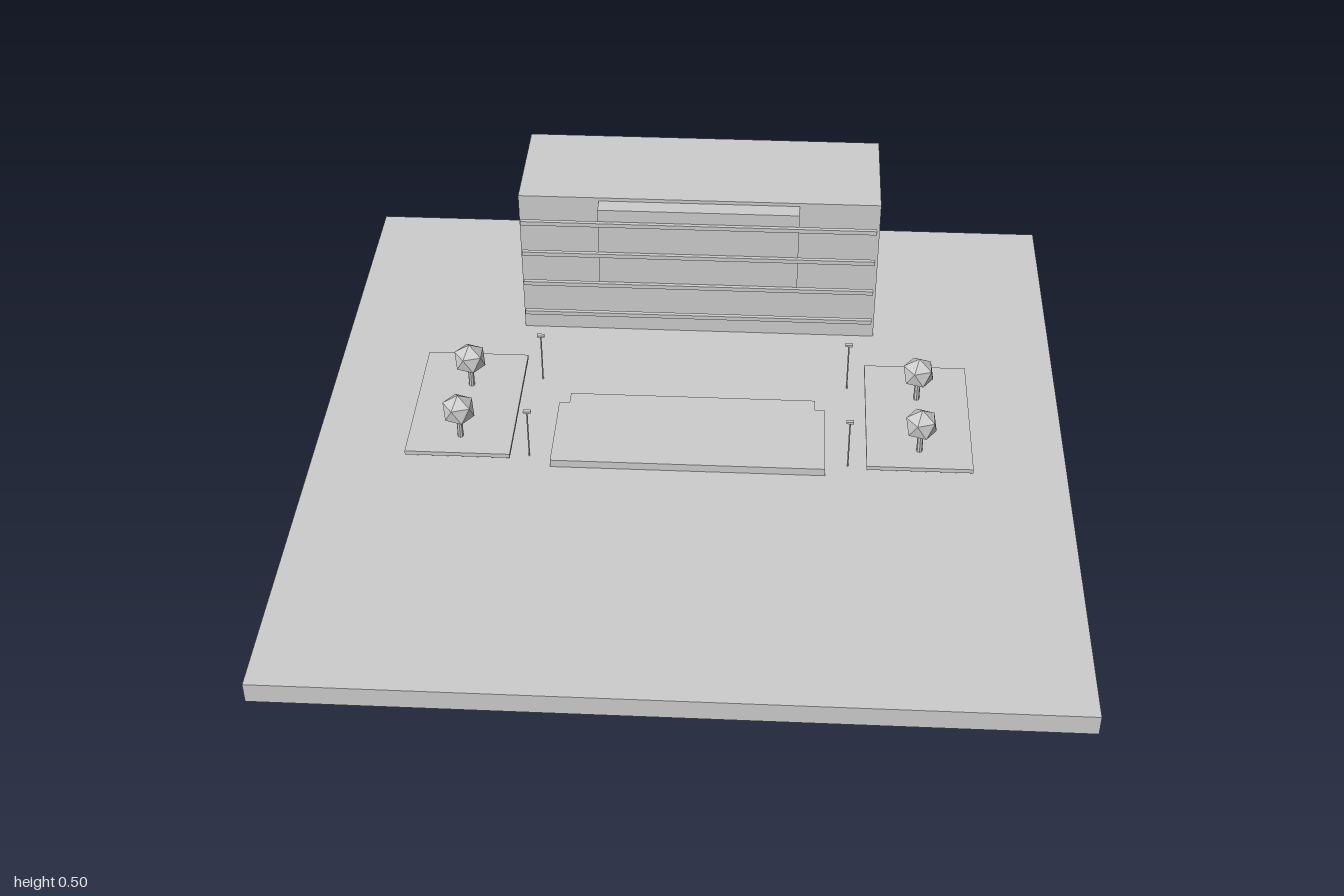
import * as THREE from 'three';

export function createModel() {
  const model = new THREE.Group();
  model.name = 'buildingSite';

  const grey = new THREE.MeshStandardMaterial({ color: 0xcccccc, flatShading: true });
  grey.name = 'light grey';

  const add = (name, geometry, x = 0, y = 0, z = 0, parent = model) => {
    const mesh = new THREE.Mesh(geometry, grey);
    mesh.name = name;
    mesh.position.set(x, y, z);
    parent.add(mesh);
    return mesh;
  };

  // Box given by its lower and upper limits on each axis
  const box = (name, x0, x1, y0, y1, z0, z1, parent) =>
    add(name, new THREE.BoxGeometry(x1 - x0, y1 - y0, z1 - z0),
      (x0 + x1) / 2, (y0 + y1) / 2, (z0 + z1) / 2, parent);

  const ground = 0.056;
  box('groundSlab', -1, 1, 0, ground, -1, 1);

  // Main block with a raised facade panel and horizontal sun shades
  box('mainBlock', -0.5, 0.5, ground, 0.5, -0.78, -0.45);
  box('facadePanel', -0.277, 0.277, 0.25, 0.49, -0.45, -0.403);
  for (const y of [0.145, 0.246, 0.346, 0.447]) {
    box('sunShade', -0.49, 0.49, y - 0.006, y + 0.006, -0.404, -0.392);
  }

  // Forecourt platform with a narrower strip at the back
  const outline = new THREE.Shape([
    [-0.363, -0.175], [0.363, -0.175], [0.363, 0.072], [0.335, 0.072],
    [0.335, 0.114], [-0.335, 0.114], [-0.335, 0.072], [-0.363, 0.072],
  ].map(([x, y]) => new THREE.Vector2(x, y)));
  const platform = new THREE.ExtrudeGeometry(outline, { depth: 0.022, bevelEnabled: false });
  platform.rotateX(-Math.PI / 2);
  add('forecourtPlatform', platform, 0, ground, 0);

  // Tree crown has a vertex pointing straight up
  const crown = new THREE.IcosahedronGeometry(0.046, 0);
  crown.rotateZ(Math.atan(2 / (1 + Math.sqrt(5))));
  const trunk = new THREE.CylinderGeometry(0.008, 0.008, 0.06, 8);
  const pole = new THREE.CylinderGeometry(0.002, 0.002, 0.15, 8);

  for (const side of [-1, 1]) {
    // Thin lawn slab with two trees
    const garden = new THREE.Group();
    garden.name = side > 0 ? 'leftGarden' : 'rightGarden';
    model.add(garden);
    const cx = side * 0.612;
    box('lawn', cx - 0.14, cx + 0.14, 0.067, 0.079, -0.28, 0.158, garden);
    for (const z of [-0.137, 0.086]) {
      add('treeTrunk', trunk, cx, 0.107, z, garden);
      add('treeCrown', crown, cx, 0.169, z, garden);
    }

    // Lamp posts beside the forecourt
    for (const z of [-0.203, 0.132]) {
      const x = side * 0.423;
      add('lampPole', pole, x, ground + 0.075, z);
      box('lampHead', x - 0.01, x + 0.01, 0.202, 0.208, z - 0.005, z + 0.005);
    }
  }
  return model;
}
